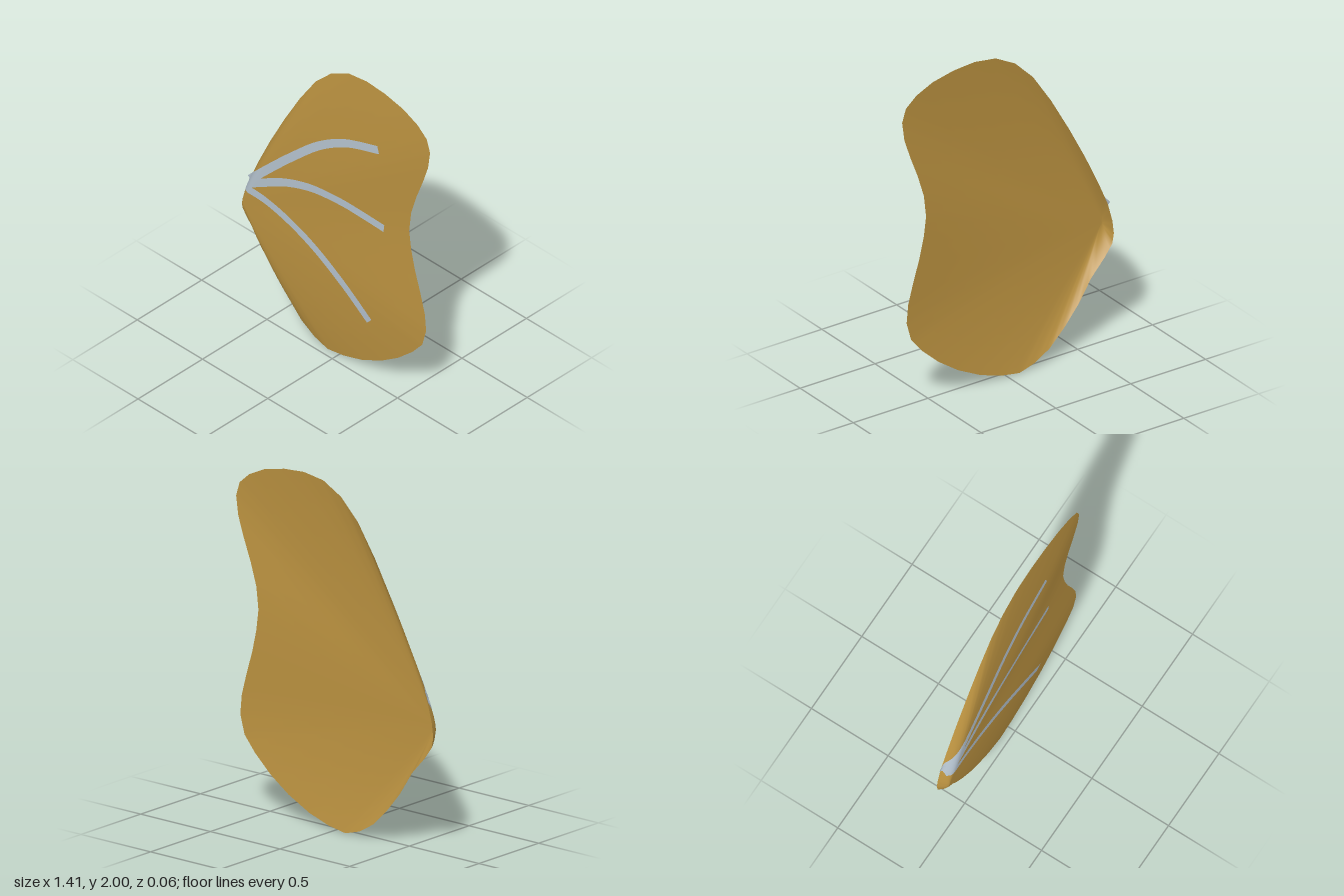
import * as THREE from 'three';

const RIM_Z = -0.045, RISE = 0.06;
const APEX = new THREE.Vector2(-0.67, 0.72);

// Wing outline, clockwise from the top
const OUTLINE = [
  [0.22, 2], [0.36, 1.99], [0.5, 1.96], [0.61, 1.91], [0.68, 1.85], [0.705, 1.77], [0.69, 1.66],
  [0.65, 1.54], [0.6, 1.41], [0.56, 1.28], [0.545, 1.15], [0.56, 1.03], [0.59, 0.9], [0.63, 0.77],
  [0.665, 0.64], [0.675, 0.53], [0.645, 0.42], [0.57, 0.33], [0.46, 0.23], [0.33, 0.14], [0.18, 0.065],
  [0.04, 0.02], [-0.08, 0], [-0.18, 0.03], [-0.28, 0.09], [-0.38, 0.19], [-0.47, 0.3], [-0.56, 0.44],
  [-0.65, 0.54], [-0.7, 0.61], [-0.71, 0.67], [-0.7, 0.75], [-0.67, 0.86], [-0.61, 1], [-0.52, 1.19],
  [-0.41, 1.4], [-0.29, 1.61], [-0.17, 1.79], [-0.05, 1.91], [0.08, 1.98],
].map(([x, y]) => new THREE.Vector2(x, y));

// Height of the dome: full at the apex, falling to the rim along every ray
const heightAt = (t) => RIM_Z + RISE * (1 - Math.min(t, 1) ** 2);

// Fraction of the way from the apex to the rim at a point
function rimFraction(x, y) {
  const d = new THREE.Vector2(x, y).sub(APEX);
  if (d.length() < 1e-6) return 0;
  for (let i = 0; i < OUTLINE.length; i++) {
    const a = OUTLINE[i].clone().sub(APEX);
    const b = OUTLINE[(i + 1) % OUTLINE.length].clone().sub(APEX);
    // Write d as u * a + v * b; u + v is the fraction when both are positive
    const det = a.cross(b), u = d.cross(b) / det, v = a.cross(d) / det;
    if (u >= -1e-9 && v >= -1e-9) return u + v;
  }
  return 1;
}

function surface(positions, index) {
  const geometry = new THREE.BufferGeometry();
  geometry.setAttribute('position', new THREE.Float32BufferAttribute(positions, 3));
  geometry.setIndex(index);
  geometry.computeVertexNormals();
  return geometry;
}

// Open domed shell made of rings around the apex
function wingGeometry(rings = 16, split = 3) {
  const rim = OUTLINE.flatMap((p, i) => Array.from({ length: split }, (_, k) =>
    p.clone().lerp(OUTLINE[(i + 1) % OUTLINE.length], k / split)));
  const n = rim.length, positions = [APEX.x, APEX.y, heightAt(0)], index = [];
  for (let r = 1; r <= rings; r++) {
    for (const p of rim) {
      const q = APEX.clone().lerp(p, r / rings);
      positions.push(q.x, q.y, heightAt(r / rings));
    }
  }
  for (let i = 0; i < n; i++) {
    const j = (i + 1) % n;
    index.push(0, 1 + j, 1 + i);
    for (let r = 0; r < rings - 1; r++) {
      const a = 1 + r * n + i, b = 1 + r * n + j;
      index.push(a, b, b + n, a, b + n, a + n);
    }
  }
  return surface(positions, index);
}

// Ribbon of constant width draped over the dome
function veinGeometry(points, width = 0.05, steps = 60, columns = 6) {
  const curve = new THREE.SplineCurve(points.map(([x, y]) => new THREE.Vector2(x, y)));
  const positions = [], index = [];
  for (let s = 0; s <= steps; s++) {
    const p = curve.getPointAt(s / steps), t = curve.getTangentAt(s / steps);
    for (let c = 0; c <= columns; c++) {
      const o = (c / columns - 0.5) * width;
      const x = p.x - t.y * o, y = p.y + t.x * o;
      positions.push(x, y, heightAt(rimFraction(x, y)) + 0.003);
      if (s < steps && c < columns) {
        const a = s * (columns + 1) + c, b = a + columns + 1;
        index.push(a, b, b + 1, a, b + 1, a + 1);
      }
    }
  }
  return surface(positions, index);
}

export function createModel() {
  const gold = new THREE.MeshStandardMaterial({ color: 0xbb9240, side: THREE.DoubleSide });
  gold.name = 'gold';
  const silver = new THREE.MeshStandardMaterial({ color: 0xb4c2ce, side: THREE.DoubleSide });
  silver.name = 'silver';

  const group = new THREE.Group();
  group.name = 'wing';
  const add = (name, geometry, material) => {
    const mesh = new THREE.Mesh(geometry, material);
    mesh.name = name;
    group.add(mesh);
  };

  add('wingShell', wingGeometry(), gold);

  // Three veins fanning out from the root
  const veins = {
    upperVein: [[-0.67, 0.85], [-0.5, 1.03], [-0.3, 1.23], [-0.1, 1.41], [0.1, 1.53], [0.335, 1.605]],
    middleVein: [[-0.67, 0.85], [-0.55, 0.92], [-0.35, 1.03], [-0.15, 1.095], [0.05, 1.11], [0.2, 1.1], [0.37, 1.08]],
    lowerVein: [[-0.67, 0.835], [-0.5, 0.83], [-0.3, 0.775], [-0.1, 0.68], [0.1, 0.54], [0.265, 0.39]],
  };
  for (const [name, points] of Object.entries(veins)) add(name, veinGeometry(points), silver);
  return group;
}
